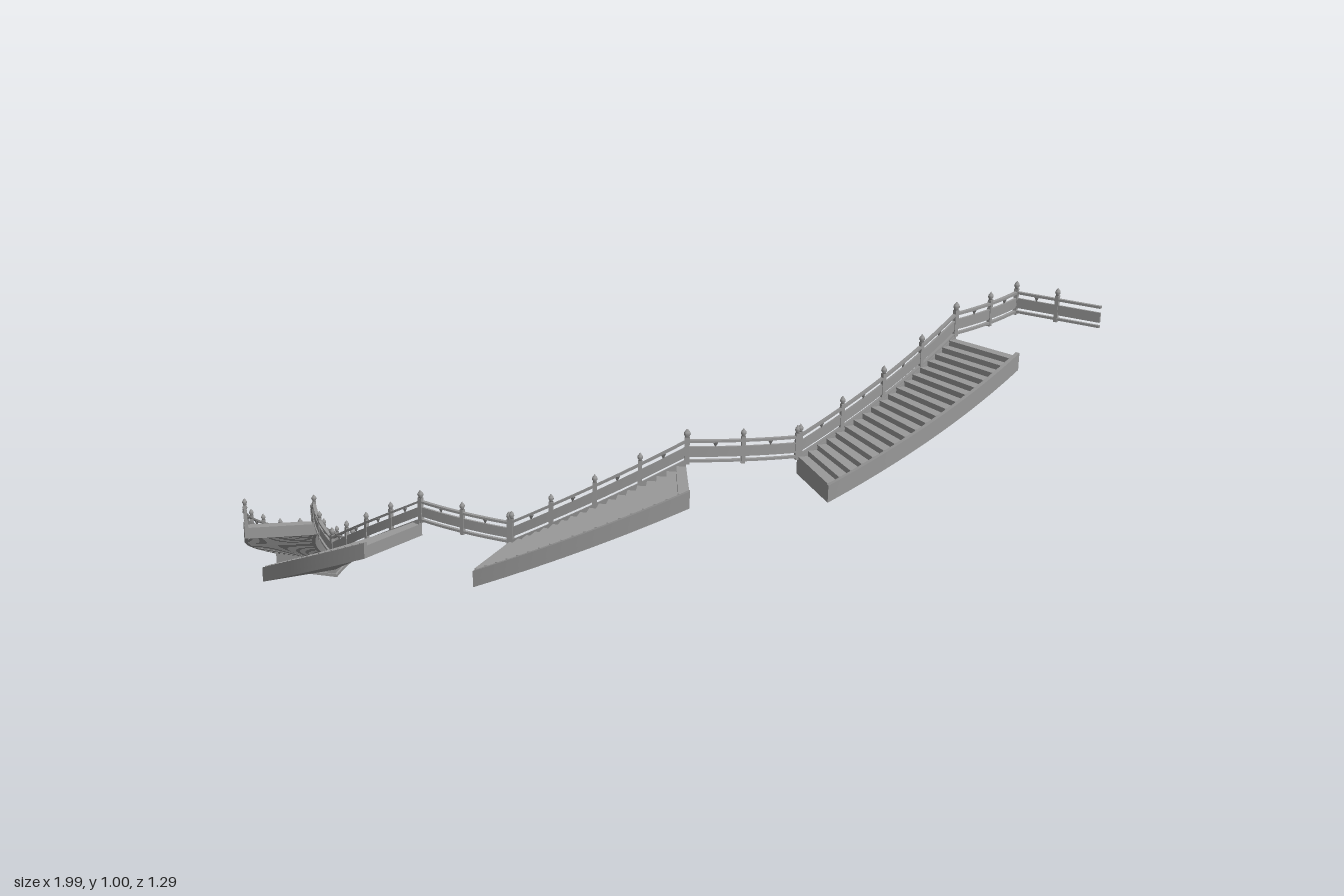
import * as THREE from 'three';

const material = new THREE.MeshStandardMaterial({ color: 0x999999, side: THREE.DoubleSide });
const CENTER = [-0.03, -0.38], RADIUS = 0.855, WIDTH = 0.171;
const LEVELS = [0, 0.308, 0.512, 0.718, 0.925];
// start and end angle of each flight, climbing from the first to the last
const FLIGHTS = [[154.9, 120.3], [105.1, 80], [64.7, 40.4], [25.3, 0.6]];
const lerp = THREE.MathUtils.lerp;

// inner line of the stair on the plan; the lowest flight flares outward
function arc(a0, a1, y0, y1) {
  return (u) => {
    const deg = lerp(a0, a1, u), a = THREE.MathUtils.degToRad(deg);
    const r = RADIUS + Math.max(0, deg - 120.3) / 34.6 * 0.041;
    const ox = Math.cos(a), oz = Math.sin(a);
    return { x: CENTER[0] + r * ox, z: CENTER[1] + r * oz, ox, oz, y: lerp(y0, y1, u) };
  };
}

function line(x0, z0, x1, z1, y) {
  const dx = x1 - x0, dz = z1 - z0, l = Math.hypot(dx, dz);
  return (u) => ({ x: x0 + dx * u, z: z0 + dz * u, ox: -dz / l, oz: dx / l, y });
}

// rectangular section swept along a path: smooth lengthwise, sharp at the corners;
// low and high map the path level to heights
function sweep(path, u0, u1, n, off0, off1, low, high) {
  const pos = [], idx = [], rings = [];
  for (let i = 0; i <= n; i++) {
    const p = path(lerp(u0, u1, i / n));
    const yb = Math.max(0, low(p.y)), yt = Math.max(yb, high(p.y));
    rings.push([[off0, yb], [off1, yb], [off1, yt], [off0, yt]]
      .map(([o, y]) => [p.x + p.ox * o, y, p.z + p.oz * o]));
  }
  for (let j = 0; j < 4; j++) {
    const base = pos.length / 3;
    rings.forEach((r) => pos.push(...r[j], ...r[(j + 1) % 4]));
    for (let i = 0; i < n; i++) {
      const a = base + i * 2;
      idx.push(a, a + 2, a + 3, a, a + 3, a + 1);
    }
  }
  const e = pos.length / 3;
  pos.push(...rings[0].flat(), ...rings[n].flat());
  idx.push(e, e + 1, e + 2, e, e + 2, e + 3, e + 4, e + 6, e + 5, e + 4, e + 7, e + 6);
  const g = new THREE.BufferGeometry();
  g.setAttribute('position', new THREE.Float32BufferAttribute(pos, 3));
  g.setIndex(idx);
  g.computeVertexNormals();
  return g;
}

function add(group, name, geometry) {
  const mesh = new THREE.Mesh(geometry, material);
  mesh.name = name;
  group.add(mesh);
  return mesh;
}

const plus = (d) => (y) => y + d;

// square shaft with a pointed finial
const shaft = new THREE.BoxGeometry(0.008, 0.056, 0.008).translate(0, 0.026, 0);
const finial = new THREE.LatheGeometry(
  [[0, 0.053], [0.004, 0.053], [0.0035, 0.056], [0.006, 0.06], [0.005, 0.064], [0, 0.071]]
    .map(([r, y]) => new THREE.Vector2(r, y)), 8);
const strut = new THREE.ConeGeometry(0.006, 0.012, 4).rotateX(Math.PI).translate(0, 0.038, 0);

// posts may be given as positions along the path
function railing(path, posts, offset, n, newelScale = 1) {
  const g = new THREE.Group();
  g.name = 'railing';
  const bar = (name, w, a, b) =>
    add(g, name, sweep(path, 0, 1, n, offset - w / 2, offset + w / 2, plus(a), plus(b)));
  bar('bottomRail', 0.007, 0.002, 0.007);
  bar('railPanel', 0.005, 0.013, 0.034);
  bar('handrail', 0.008, 0.043, 0.048);
  const place = (object, u) => {
    const p = path(u);
    object.position.set(p.x + p.ox * offset, Math.max(p.y, 0.003), p.z + p.oz * offset);
    object.rotation.y = Math.atan2(p.ox, p.oz);
  };
  posts.forEach((u, i) => {
    const post = new THREE.Group();
    post.name = 'post';
    add(post, 'postShaft', shaft);
    add(post, 'postFinial', finial);
    place(post, u);
    if (i === 0) post.scale.setScalar(newelScale);
    g.add(post);
    if (i > 0) place(add(g, 'railStrut', strut), (u + posts[i - 1]) / 2);
  });
  return g;
}

function flight(path, steps, lift) {
  const g = new THREE.Group();
  g.name = 'flight';
  add(g, 'undersideSlab', sweep(path, 0, 1, steps, 0, WIDTH, plus(-0.033), plus(-0.02)));
  for (const o of [0, WIDTH - 0.009]) {
    add(g, 'stringer', sweep(path, 0, 1, steps, o, o + 0.009, plus(-0.033), plus(lift)));
  }
  for (let k = 0; k < steps; k++) {
    const u0 = k / steps, u1 = (k + 1) / steps;
    const bottom = path(u0).y - 0.022, top = path(u1).y - 0.006;
    add(g, 'step', sweep(path, u0, u1, 1, 0.008, WIDTH - 0.008, () => bottom, () => top));
  }
  return g;
}

export function createModel() {
  const model = new THREE.Group();
  model.name = 'curvedStaircase';

  FLIGHTS.forEach(([a0, a1], i) => {
    const first = i === 0;
    const path = arc(a0, a1, LEVELS[i], LEVELS[i + 1]);
    const posts = first ? [0.015, 0.2, 0.4, 0.6, 0.8, 0.99] : [0.01, 0.25, 0.5, 0.75, 1];
    model.add(flight(path, first ? 26 : 19, first ? 0.012 : 0.002));
    model.add(railing(path, posts, 0.004, 16, first ? 1.2 : 1));
    if (first) {
      // outer railing and pedestal belong to the lowest flight only
      model.add(railing(path, posts, WIDTH - 0.004, 16, 1.2));
      add(model, 'pedestal', sweep(path, 0, 0.255, 8, 0.002, WIDTH - 0.002,
        () => 0, (y) => Math.min(0.057, y - 0.015)));
      add(model, 'plinth', sweep(path, 0.03, 0.26, 8, -0.003, WIDTH + 0.003, () => 0, () => 0.008));
    }
    // railing along the inner side of the landing above
    const next = i < 3 ? FLIGHTS[i + 1][0] : -15.1;
    model.add(railing(arc(a1, next, LEVELS[i + 1], LEVELS[i + 1]), [0.01, 0.5, 0.99], 0.004, 8));
  });

  // straight railing across the top landing
  const end = arc(0, -15.1, LEVELS[4], LEVELS[4])(1);
  model.add(railing(line(end.x, end.z, 0.985, -0.643, LEVELS[4]), [0.02, 0.5], 0.002, 1));
  return model;
}
